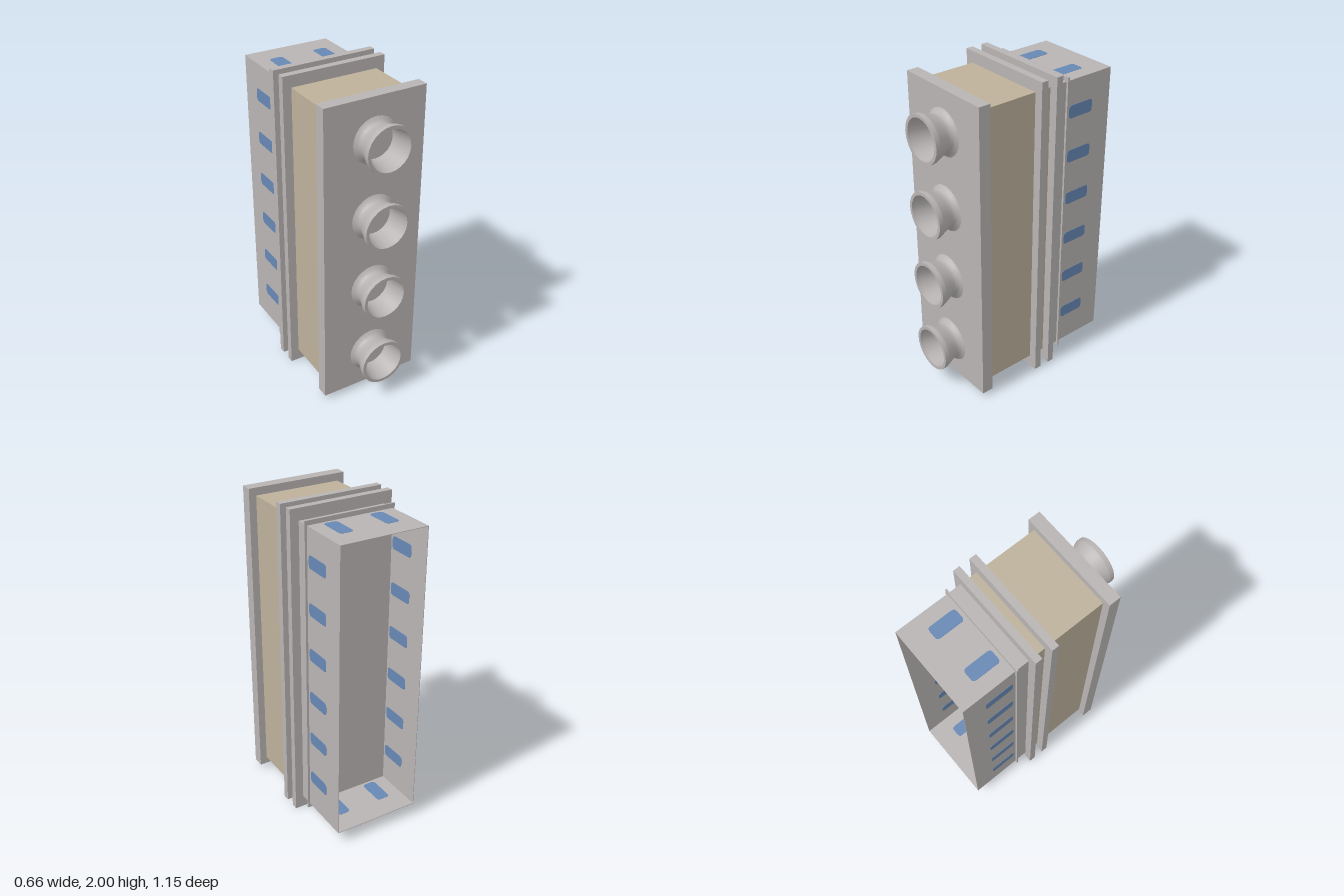
import * as THREE from 'three';

export function createModel() {
  const model = new THREE.Group();
  const mat = (name, color) => {
    const m = new THREE.MeshStandardMaterial({ color });
    m.name = name;
    return m;
  };
  const metal = mat('grey metal', 0xb8b4b3);
  const tan = mat('tan casing', 0xbdb19b);
  const blue = mat('blue slot', 0x6888b4);

  const add = (name, geometry, material, x, y, z, parent = model) => {
    const mesh = new THREE.Mesh(geometry, material);
    mesh.name = name;
    mesh.position.set(x, y, z);
    parent.add(mesh);
    return mesh;
  };
  // Box given by half width and by its y and z ranges
  const block = (name, material, halfWidth, y0, y1, z0, z1) =>
    add(name, new THREE.BoxGeometry(halfWidth * 2, y1 - y0, z1 - z0), material,
      0, (y0 + y1) / 2, (z0 + z1) / 2);

  const W = 0.278, BOTTOM = 0.077, TOP = 1.927, BACK = -0.577, PANEL = -0.245;

  // Solid core, flanges and front plate
  block('frontPlate', metal, 0.324, 0.03, 1.975, 0.35, 0.425);
  block('casing', tan, W, BOTTOM, TOP, -0.12, 0.36);
  block('frontFlange', metal, 0.332, 0, 2, -0.044, 0);
  block('rearFlange', metal, 0.332, 0, 2, -0.152, -0.109);
  block('ductCore', metal, W, BOTTOM, TOP, PANEL, -0.14);
  block('thinFlange', metal, 0.292, 0.05, 1.955, -0.24, -0.229);

  // Open sheet-metal sleeve behind the core
  const SHEET = 0.003;
  for (const side of [-1, 1]) {
    add(side > 0 ? 'leftWall' : 'rightWall',
      new THREE.BoxGeometry(SHEET, TOP - BOTTOM, PANEL - BACK), metal,
      side * (W - SHEET / 2), (TOP + BOTTOM) / 2, (PANEL + BACK) / 2);
  }
  block('topWall', metal, W, TOP - SHEET, TOP, BACK, PANEL);
  block('bottomWall', metal, W, BOTTOM, BOTTOM + SHEET, BACK, PANEL);

  // Rounded slot plates, showing on both faces of the sheet
  const slotGeometry = (length, width, r) => {
    const a = length / 2, b = width / 2;
    const s = new THREE.Shape();
    s.moveTo(-a + r, -b);
    s.lineTo(a - r, -b);
    s.quadraticCurveTo(a, -b, a, -b + r);
    s.lineTo(a, b - r);
    s.quadraticCurveTo(a, b, a - r, b);
    s.lineTo(-a + r, b);
    s.quadraticCurveTo(-a, b, -a, b - r);
    s.lineTo(-a, -b + r);
    s.quadraticCurveTo(-a, -b, -a + r, -b);
    const g = new THREE.ExtrudeGeometry(s, { depth: 0.006, bevelEnabled: false, curveSegments: 4 });
    return g.translate(0, 0, -0.003);
  };
  const slots = new THREE.Group();
  slots.name = 'slots';
  model.add(slots);
  const sideSlot = slotGeometry(0.18, 0.08, 0.022).rotateY(Math.PI / 2);
  const endSlot = slotGeometry(0.086, 0.178, 0.022).rotateX(Math.PI / 2);
  for (const side of [-1, 1]) {
    for (let i = 0; i < 6; i++) {
      add('sideSlot', sideSlot, blue, side * (W - SHEET / 2), 0.305 + i * 0.285, -0.348, slots);
    }
    for (const y of [BOTTOM + SHEET / 2, TOP - SHEET / 2]) {
      add('endSlot', endSlot, blue, side * 0.147, y, -0.35, slots);
    }
  }

  // Flared ports: smooth waisted outside, flat lip, hollow bore
  const lathe = (points) => new THREE.LatheGeometry(
    points.map(([r, z]) => new THREE.Vector2(r, z)), 24).rotateX(Math.PI / 2);
  const outer = lathe([[0.146, 0], [0.128, 0.012], [0.118, 0.028], [0.117, 0.045],
    [0.124, 0.068], [0.135, 0.096], [0.145, 0.12], [0.147, 0.128], [0.147, 0.152]]);
  const lip = lathe([[0.147, 0.152], [0.127, 0.152]]);
  const bore = lathe([[0.127, 0.152], [0.125, 0.125], [0.112, 0.06], [0.11, 0]]);
  for (let i = 0; i < 4; i++) {
    const port = new THREE.Group();
    port.name = 'port';
    port.position.set(0.003, 0.268 + i * 0.4825, 0.424);
    model.add(port);
    add('portOutside', outer, metal, 0, 0, 0, port);
    add('portLip', lip, metal, 0, 0, 0, port);
    add('portBore', bore, metal, 0, 0, 0, port);
  }
  return model;
}
